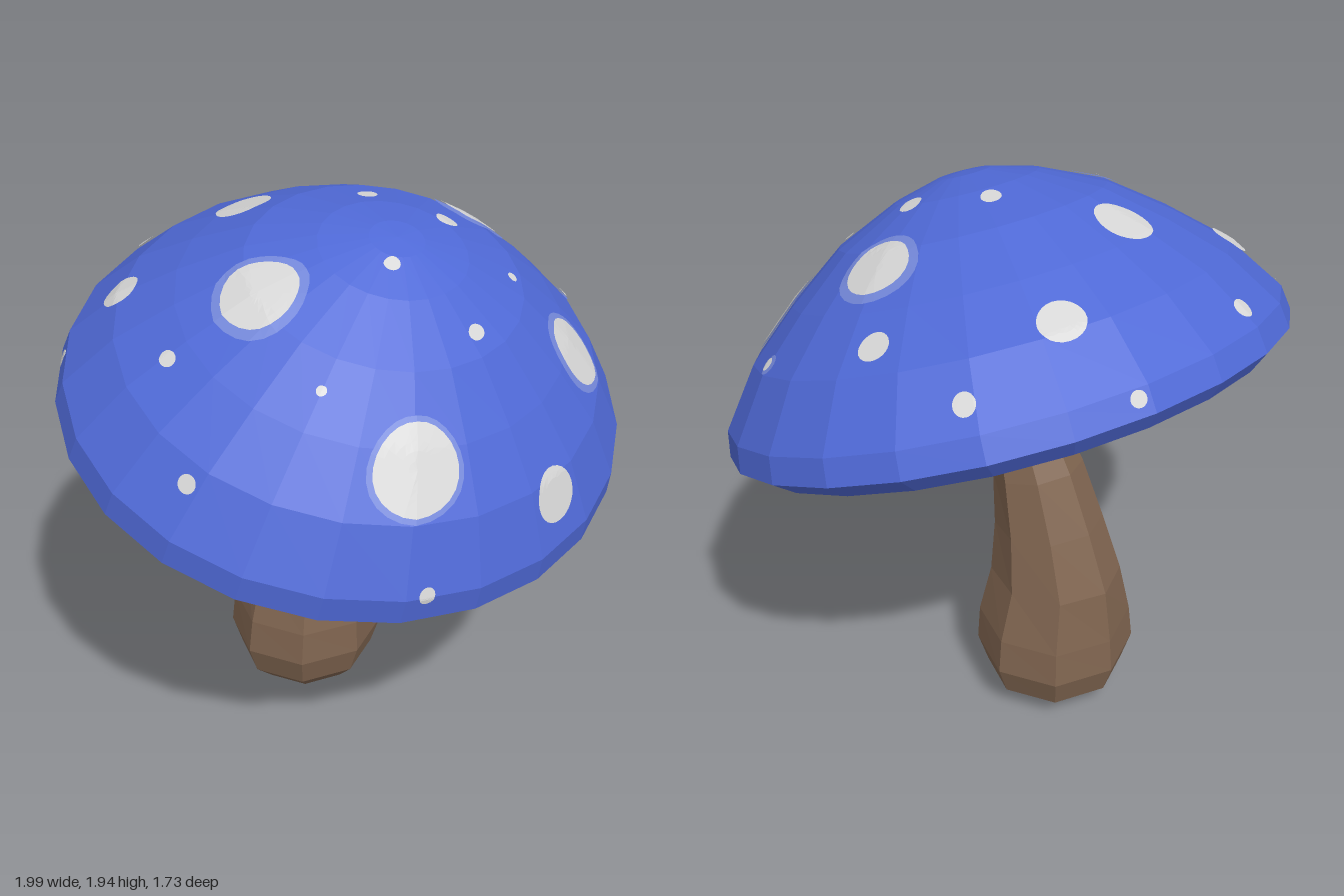
import * as THREE from 'three';

const paint = (name, color, side = THREE.FrontSide) => {
  const m = new THREE.MeshStandardMaterial({ color, flatShading: true, side });
  m.name = name;
  return m;
};

const SIDES = 24, WIDE = 1.09; // cap facets, and its stretch along x

// Cap outline as [radius, height], from the apex down over the rim
const DOME = [[0, 0.61], [0.085, 0.603], [0.23, 0.562], [0.43, 0.468], [0.61, 0.33],
  [0.77, 0.185], [0.9, 0], [0.915, -0.085], [0.85, -0.14]];
const UNDER = [[0.8, -0.125], [0.78, 0.0], [0.5, 0.06], [0.0, 0.08]];
const RIM = 6; // index of the dome's lower edge

const lengths = [0];
for (let i = 1; i < DOME.length; i++) {
  lengths.push(lengths[i - 1] + Math.hypot(DOME[i][0] - DOME[i - 1][0], DOME[i][1] - DOME[i - 1][1]));
}

// Ratio of the faceted outline to the true circle at an angle
function facet(a) {
  const step = (2 * Math.PI) / SIDES;
  const mid = (Math.floor(a / step) + 0.5) * step;
  return Math.cos(step / 2) / Math.cos(a - mid);
}

// Point on the cap at angle a and distance s down the outline, lifted by off
function capPoint(a, s, off) {
  let i = 1;
  while (i < DOME.length - 1 && lengths[i] < s) i++;
  const [r0, h0] = DOME[i - 1], [r1, h1] = DOME[i], len = lengths[i] - lengths[i - 1];
  const t = (s - lengths[i - 1]) / len;
  const r = (r0 + (r1 - r0) * t) * facet(a) - (off * (h1 - h0)) / len;
  const h = h0 + (h1 - h0) * t + (off * (r1 - r0)) / len;
  return [r * Math.sin(a) * WIDE, h, r * Math.cos(a)];
}

// Oval patch that follows the cap; u is the half width around, v the half height
function patch(a, s, u, v, off) {
  const rings = 5, segs = 24, pos = [], idx = [];
  const c = capPoint(a, s, 0), r = Math.hypot(c[0] / WIDE, c[2]);
  const arc = r * Math.hypot(WIDE * Math.cos(a), Math.sin(a));
  for (let i = 0; i <= rings; i++) {
    for (let j = 0; j < segs; j++) {
      const q = (j / segs) * 2 * Math.PI, k = i / rings;
      pos.push(...capPoint(a + (u * k * Math.cos(q)) / arc, s - v * k * Math.sin(q), off));
      if (i === rings) continue;
      const p = i * segs + j, n = i * segs + ((j + 1) % segs);
      if (i > 0) idx.push(p, p + segs, n);
      idx.push(n, p + segs, n + segs);
    }
  }
  return surface(pos, idx);
}

function surface(pos, idx) {
  const g = new THREE.BufferGeometry();
  g.setAttribute('position', new THREE.Float32BufferAttribute(pos, 3));
  g.setIndex(idx);
  g.computeVertexNormals();
  return g;
}

// Eight-sided tube through sections [y, z, half width, half depth, slope]
function stalk(sections, capped) {
  const n = 8, pos = [], idx = [];
  sections.forEach(([y, z, rx, rz, slope], i) => {
    for (let j = 0; j < n; j++) {
      const a = (j / n) * 2 * Math.PI, dz = Math.cos(a) * rz;
      pos.push(-0.02 * Math.max(0, 1 - y / 1.4) + Math.sin(a) * rx, y - slope * dz, z + dz);
      if (i === 0) continue;
      const p = (i - 1) * n + j, q = (i - 1) * n + ((j + 1) % n);
      idx.push(p, q, p + n, q, q + n, p + n);
    }
  });
  if (capped) for (let j = 1; j < n - 1; j++) idx.push(0, j + 1, j);
  return surface(pos, idx);
}

// Upright blades fanned around the cap axis
function gillBlades(count) {
  const cut = [[0.06, -0.05, 0.078], [0.3, -0.085, 0.068], [0.5, -0.1, 0.06], [0.76, -0.1, 0.005], [0.785, -0.06, -0.01]];
  const pos = [], idx = [];
  for (let b = 0; b < count; b++) {
    const a = (b / count) * 2 * Math.PI, base = pos.length / 3;
    cut.forEach(([r, low, high], i) => {
      const x = r * Math.sin(a) * WIDE, z = r * Math.cos(a);
      pos.push(x, low, z, x, high, z);
      const p = base + i * 2;
      if (i > 0) idx.push(p - 2, p, p - 1, p, p + 1, p - 1);
    });
  }
  return surface(pos, idx);
}

// Spots as seen from above: [x, z, half width, half height, halo width]
const SPOTS = [
  [-0.24, -0.75, 0.036, 0.034, 0], [-0.58, -0.44, 0.062, 0.065, 0], [-0.12, -0.365, 0.09, 0.095, 0],
  [0.34, -0.545, 0.075, 0.07, 0], [0.675, -0.5, 0.034, 0.038, 0], [0.7, -0.155, 0.05, 0.048, 0],
  [0.125, -0.045, 0.033, 0.036, 0], [-0.44, 0.07, 0.12, 0.12, 0.03], [0.505, 0.05, 0.108, 0.1, 0.03],
  [0.25, 0.18, 0.036, 0.036, 0], [-0.1, 0.285, 0.025, 0.025, 0], [-0.7, -0.045, 0.03, 0.025, 0],
  [-0.85, 0.21, 0.03, 0.028, 0], [-0.78, 0.5, 0.037, 0.037, 0], [-0.485, 0.385, 0.016, 0.016, 0],
  [-0.35, 0.64, 0.135, 0.14, 0.018], [0.02, 0.52, 0.032, 0.026, 0], [0.33, 0.395, 0.018, 0.018, 0],
  [0.49, 0.55, 0.115, 0.13, 0.025], [0.105, 0.8, 0.09, 0.09, 0], [0.785, 0.26, 0.02, 0.022, 0.012],
];
// Small spots on the rim: direction [x, z] and distance below the dome edge
const RIM_SPOTS = [[-0.44, 0.9, -0.01], [0.86, 0.5, 0.03], [0.3, -0.95, 0.03], [-0.79, -0.62, 0.02]];

export function createModel() {
  const blue = paint('cap blue', 0x4f69d6);
  const halo = paint('halo blue', 0x7488da);
  const white = paint('spot white', 0xd6d6d6);
  const brown = paint('stem brown', 0x806550);
  const green = paint('gill green', 0x34d80f, THREE.DoubleSide);

  const model = new THREE.Group();
  model.name = 'mushroom';
  const add = (parent, name, geometry, material) => {
    const mesh = new THREE.Mesh(geometry, material);
    mesh.name = name;
    parent.add(mesh);
    return mesh;
  };

  // Stem with a pale neck that runs up into the cap
  add(model, 'stem', stalk([
    [0, -0.2, 0.1, 0.1, 0], [0.03, -0.21, 0.19, 0.18, 0], [0.09, -0.22, 0.255, 0.245, 0],
    [0.2, -0.22, 0.29, 0.28, 0], [0.33, -0.217, 0.275, 0.272, 0], [0.52, -0.22, 0.222, 0.24, 0.05],
    [0.72, -0.185, 0.188, 0.192, 0.12], [0.92, -0.132, 0.16, 0.152, 0.2], [1.12, -0.055, 0.125, 0.112, 0.25],
  ], true), brown);
  add(model, 'neck', stalk([
    [1.12, -0.055, 0.125, 0.112, 0.25], [1.24, -0.015, 0.1, 0.09, 0.3], [1.4, 0.03, 0.07, 0.07, 0.35],
  ], false), white);

  // Cap, tipped towards the front
  const cap = new THREE.Group();
  cap.name = 'cap';
  cap.position.set(0.005, 1.33, 0.01);
  cap.rotation.set(0.35, 0, 0.02);
  model.add(cap);
  const outline = [...DOME, ...UNDER].reverse().map(([r, h]) => new THREE.Vector2(r, h));
  const shell = add(cap, 'capShell', new THREE.LatheGeometry(outline, SIDES).scale(WIDE, 1, 1), blue);
  add(cap, 'gills', gillBlades(64), green);

  // Spots, dropped straight down onto the cap
  model.updateMatrixWorld(true);
  const ray = new THREE.Raycaster();
  const down = new THREE.Vector3(0, -1, 0);
  for (const [x, z, u, v, edge] of SPOTS) {
    ray.set(new THREE.Vector3(x, 4, z), down);
    const hit = ray.intersectObject(shell)[0];
    if (!hit) continue;
    const p = cap.worldToLocal(hit.point.clone());
    const a = Math.atan2(p.x / WIDE, p.z);
    const r = Math.hypot(p.x / WIDE, p.z) / facet(a);
    let i = 1;
    while (i < RIM && DOME[i][0] < r) i++;
    const t = (r - DOME[i - 1][0]) / (DOME[i][0] - DOME[i - 1][0]);
    const s = lengths[i - 1] + t * (lengths[i] - lengths[i - 1]);
    if (edge) add(cap, 'spotHalo', patch(a, s, u + edge, v + edge, 0.005), halo);
    add(cap, 'spot', patch(a, s, u, v, 0.009), white);
  }
  for (const [x, z, drop] of RIM_SPOTS) {
    add(cap, 'rimSpot', patch(Math.atan2(x, z), lengths[RIM] + drop, 0.026, 0.026, 0.007), white);
  }
  return model;
}
